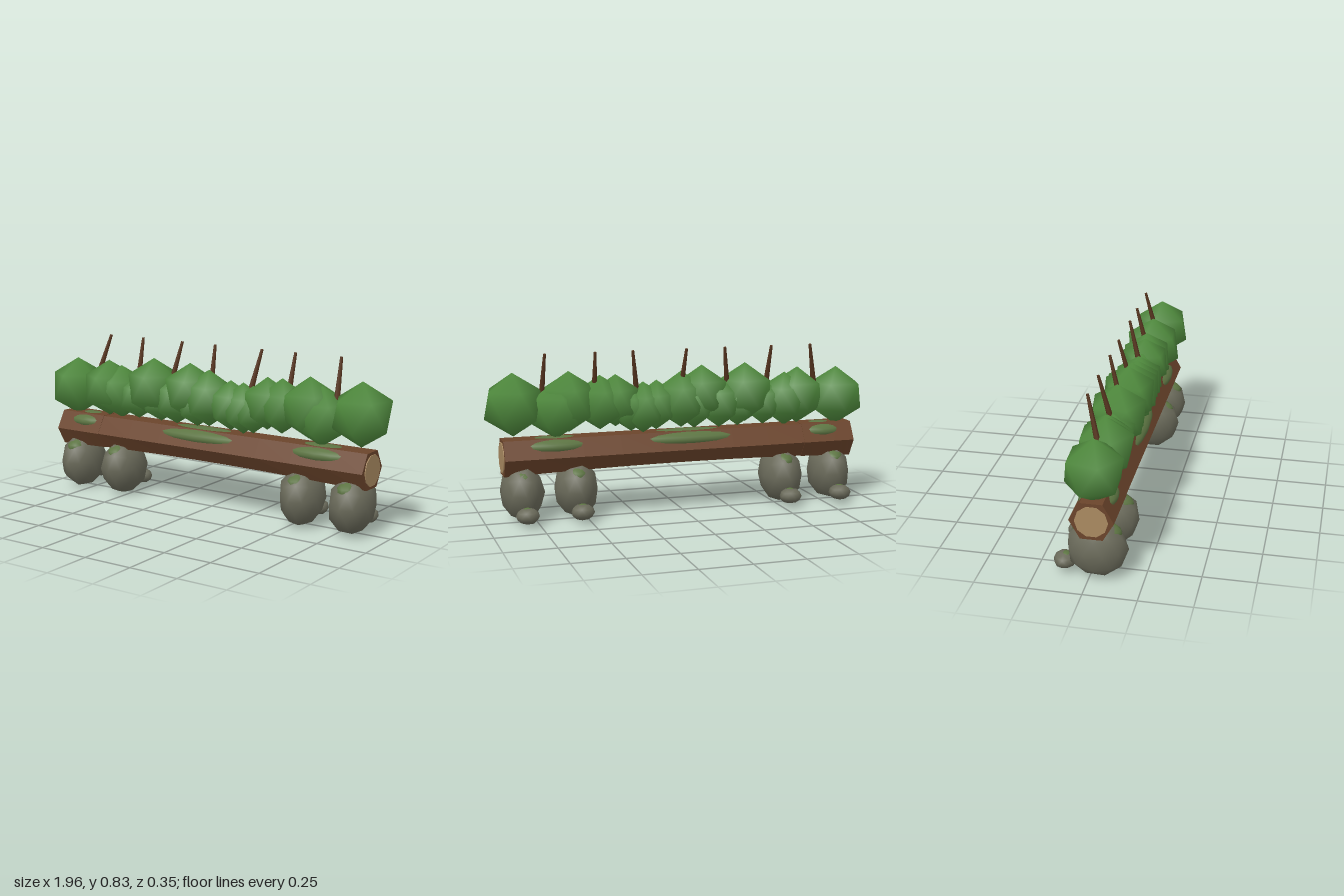
import * as THREE from 'three';
import { mergeVertices } from 'three/addons/utils/BufferGeometryUtils.js';

const mat = (name, color) => {
  const m = new THREE.MeshStandardMaterial({ color });
  m.name = name;
  return m;
};

// Smooth-shaded icosphere with a vertex at each pole and a little seeded unevenness
function blobGeometry(detail, jitter = 0, seed = 1) {
  let g = new THREE.IcosahedronGeometry(1, detail);
  g.deleteAttribute('normal');
  g.deleteAttribute('uv');
  g = mergeVertices(g, 1e-3);
  g.rotateZ(Math.atan(2 / (1 + Math.sqrt(5))));
  if (!detail) g.rotateX(0);
  const random = () => (seed = (seed * 16807) % 2147483647) / 2147483647;
  const p = g.attributes.position;
  const v = new THREE.Vector3();
  for (let i = 0; i < p.count; i++) {
    v.fromBufferAttribute(p, i).multiplyScalar(1 + (random() - 0.5) * jitter);
    p.setXYZ(i, v.x, v.y, v.z);
  }
  g.computeVertexNormals();
  return g;
}

export function createModel() {
  const model = new THREE.Group();
  model.name = 'logHedge';
  const leaf = mat('leaf green', 0x4f8a3d);
  const bark = mat('bark brown', 0x6b442b);
  const twigBrown = mat('twig brown', 0x57351f);
  const cut = mat('cut wood', 0xa98a61);
  const stone = mat('stone grey', 0x6a6a5a);
  const moss = mat('moss green', 0x5c7442);

  const add = (name, geometry, material, pos, scale = [1, 1, 1], turn = 0) => {
    const m = new THREE.Mesh(geometry, material);
    m.name = name;
    m.position.set(...pos);
    m.scale.set(...scale);
    m.rotation.y = turn;
    model.add(m);
    return m;
  };

  // Six-sided log in two lengths, its underside arched in the middle
  const logY = 0.327, logZ = 0.025;
  const logPart = (name, x0, x1, radius) => {
    const g = new THREE.CylinderGeometry(radius, radius, x1 - x0, 6, 8).toNonIndexed();
    g.rotateZ(-Math.PI / 2);
    g.translate((x0 + x1) / 2, 0, 0);
    const p = g.attributes.position;
    for (let i = 0; i < p.count; i++) {
      const arch = 1 - (p.getX(i) / 0.91) ** 2;
      if (p.getY(i) < -0.02) p.setY(i, p.getY(i) + 0.018 * arch);
    }
    g.computeVertexNormals();
    add(name, g, bark, [0, logY, logZ]);
  };
  logPart('logShortLength', -0.91, -0.635, 0.103);
  logPart('logLongLength', -0.635, 0.908, 0.101);
  for (const s of [-1, 1]) {
    const disc = new THREE.CylinderGeometry(0.077, 0.077, 0.006, 10);
    disc.rotateZ(Math.PI / 2);
    add('cutEnd', disc, cut, [s * 0.909, logY, logZ]);
  }

  // Moss lying along the top of the log
  const smooth = new THREE.SphereGeometry(1, 16, 10);
  for (const [x, rx] of [[-0.75, 0.14], [-0.03, 0.36], [0.65, 0.22]])
    add('logMoss', smooth, moss, [x, 0.374, logZ], [rx, 0.046, 0.09]);

  // Supporting stones, each with a pebble behind and moss on top
  [[-0.815, 0.152, 0.107], [-0.54, 0.15, 0.11], [0.545, 0.152, 0.107], [0.815, 0.153, 0.108]].forEach(([x, y, rx], i) => {
    add('supportStone', blobGeometry(1, 0.09, 11 + i * 97), stone, [x, y, 0.03], [rx, 0.145, 0.143]);
    add('stoneMoss', smooth, moss, [x, 0.228, 0.03], [0.065, 0.052, 0.115]);
    add('pebble', blobGeometry(1, 0.06, 31 + i * 53), stone, [x, 0.065, -0.122], [0.057, 0.04, 0.052]);
    add('pebbleMoss', smooth, moss, [x, 0.088, -0.117], [0.027, 0.017, 0.025]);
  });

  // Hedge clumps: x, y, z, radius
  const clump = blobGeometry(0);
  [
    [-0.845, 0.55, 0.025, 0.152], [-0.63, 0.562, 0.03, 0.146], [-0.555, 0.547, 0.02, 0.138],
    [-0.44, 0.535, 0.025, 0.115], [-0.34, 0.59, 0.025, 0.152], [-0.3, 0.53, 0.02, 0.11],
    [-0.2, 0.545, 0.02, 0.128], [-0.11, 0.595, 0.03, 0.143], [-0.07, 0.54, 0.025, 0.12],
    [0.0, 0.57, 0.025, 0.143], [0.13, 0.548, 0.025, 0.125], [0.2, 0.54, 0.02, 0.128],
    [0.26, 0.54, 0.025, 0.118], [0.34, 0.58, 0.025, 0.13], [0.42, 0.575, 0.02, 0.135],
    [0.575, 0.585, 0.025, 0.15], [0.64, 0.55, 0.022, 0.145], [0.85, 0.583, 0.025, 0.155],
  ].forEach(([x, y, z, r], i) =>
    add('hedgeClump', clump, leaf, [x, y, z], [r, r, r * 0.98], i * 1.3 + 0.35));

  // Bare twigs leaning backwards: base x, tip x
  const up = new THREE.Vector3(0, 1, 0);
  for (const [x0, x1] of [[-0.73, -0.668], [-0.447, -0.457], [-0.25, -0.208], [0.008, -0.008],
    [0.225, 0.267], [0.447, 0.455], [0.713, 0.702]]) {
    const a = new THREE.Vector3(x0, 0.56, 0.03), b = new THREE.Vector3(x1, 0.83, -0.041);
    const dir = b.clone().sub(a);
    const twig = add('twig', new THREE.CylinderGeometry(0.007, 0.017, dir.length(), 6), twigBrown,
      a.clone().add(b).multiplyScalar(0.5).toArray());
    twig.quaternion.setFromUnitVectors(up, dir.normalize());
  }
  return model;
}
